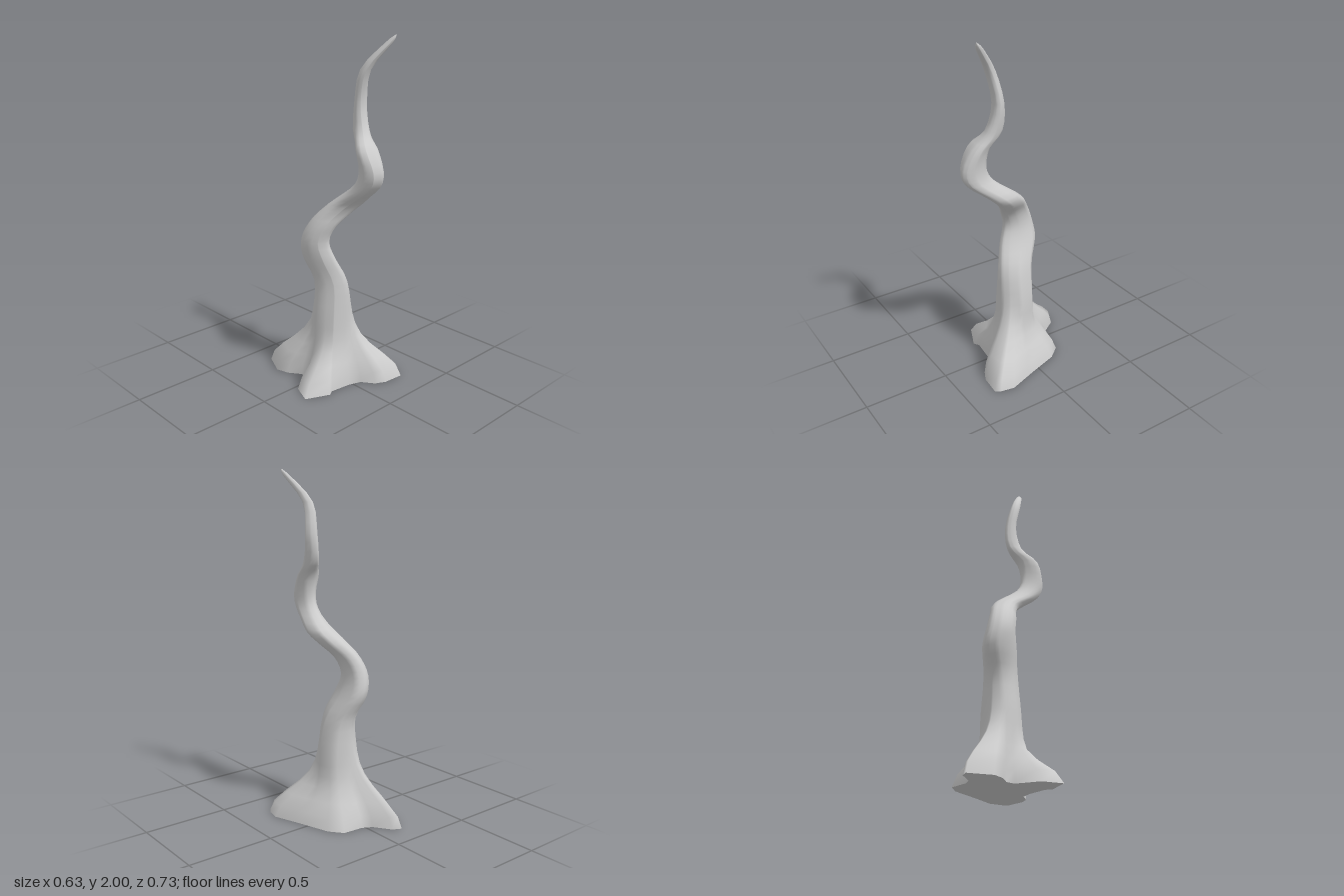
import * as THREE from 'three';

// Root outline on the ground: x, z
const ROOTS = [
  [0.25, 0.03], [0.27, 0.09], [0.315, 0.22], [0.3, 0.3], [0.28, 0.33], [0.16, 0.32],
  [0.1, 0.29], [0.05, 0.22], [-0.02, 0.195], [-0.145, 0.18], [-0.18, 0.2], [-0.315, 0.14],
  [-0.27, 0.025], [-0.14, -0.035], [-0.14, -0.09], [-0.19, -0.16], [-0.21, -0.235], [-0.15, -0.365],
  [-0.1, -0.34], [-0.035, -0.245], [0.02, -0.215], [0.14, -0.205], [0.2, -0.13],
];

// Trunk: height, centre x, centre z, half width, half depth
const TRUNK = [
  [0, 0.01, 0.02, 0.125, 0.115],
  [0.2, 0.01, 0.02, 0.12, 0.11],
  [0.4, 0.014, 0.022, 0.116, 0.11],
  [0.6, 0.005, 0.015, 0.087, 0.108],
  [0.74, -0.043, -0.037, 0.072, 0.12],
  [0.85, -0.065, -0.048, 0.066, 0.096],
  [0.95, -0.042, -0.01, 0.063, 0.093],
  [1.04, 0.022, 0.055, 0.077, 0.09],
  [1.11, 0.053, 0.132, 0.077, 0.088],
  [1.21, 0.035, 0.262, 0.057, 0.084],
  [1.3, 0.028, 0.292, 0.058, 0.077],
  [1.41, 0.03, 0.255, 0.067, 0.058],
  [1.5, 0.064, 0.182, 0.04, 0.052],
  [1.65, 0.079, 0.162, 0.037, 0.033],
  [1.82, 0.073, 0.203, 0.029, 0.03],
  [1.96, 0.142, 0.302, 0.017, 0.021],
  [2, 0.161, 0.331, 0.003, 0.004],
];
const spine = new THREE.CatmullRomCurve3(TRUNK.map(([y, x, z]) => new THREE.Vector3(x, y, z)), false, 'catmullrom');
const girth = new THREE.CatmullRomCurve3(TRUNK.map(([y, , , w, d]) => new THREE.Vector3(w, y, d)), false, 'catmullrom');

// One horizontal section of the trunk, blended towards the root outline near the ground
function section(t) {
  const centre = spine.getPoint(t), half = girth.getPoint(t), dir = spine.getTangent(t);
  const y = centre.y;
  const lean = THREE.MathUtils.clamp(0.3 * dir.x * dir.z / (dir.y * dir.y), -0.3, 0.3);
  const flare = Math.exp(-Math.pow(y / 0.18, 2));
  return ROOTS.map(([rx, rz]) => {
    const a = Math.atan2(rz, rx);
    const ridge = 0.97 + 0.06 * Math.cos(3 * a + 3 * y);
    const x = centre.x + half.x * ridge * Math.cos(a - lean / 2);
    const z = centre.z + half.z * ridge * Math.sin(a + lean / 2);
    // Side root sinks quickly, back root stays high
    const w = Math.pow(flare, 1.15 + 0.5 * Math.cos(2 * a - 5.4));
    return [x + (rx - x) * w, y, z + (rz - z) * w];
  });
}

function makeMesh(name, positions, index) {
  const geometry = new THREE.BufferGeometry();
  geometry.setAttribute('position', new THREE.Float32BufferAttribute(positions.flat(), 3));
  geometry.setIndex(index);
  geometry.computeVertexNormals();
  const mesh = new THREE.Mesh(geometry, new THREE.MeshStandardMaterial({ color: 0xcccccc }));
  mesh.name = name;
  return mesh;
}

export function createModel() {
  const group = new THREE.Group();
  group.name = 'twistedDeadTree';
  const n = ROOTS.length;
  const steps = (TRUNK.length - 1) * 3;

  // Trunk and roots: one skin over all sections, closed at the tip
  const points = [];
  const index = [];
  for (let s = 0; s <= steps; s++) points.push(...section(s / steps));
  for (let s = 0; s < steps; s++) {
    for (let i = 0; i < n; i++) {
      const a = s * n + i, b = s * n + (i + 1) % n;
      index.push(a, a + n, b, b, a + n, b + n);
    }
  }
  const last = steps * n;
  for (let i = 1; i < n - 1; i++) index.push(last, last + i + 1, last + i);
  group.add(makeMesh('trunkAndRoots', points, index));

  // Flat underside
  const fan = [];
  for (let i = 0; i < n; i++) fan.push(n, i, (i + 1) % n);
  group.add(makeMesh('underside', [...section(0), [0, 0, 0]], fan));

  return group;
}
